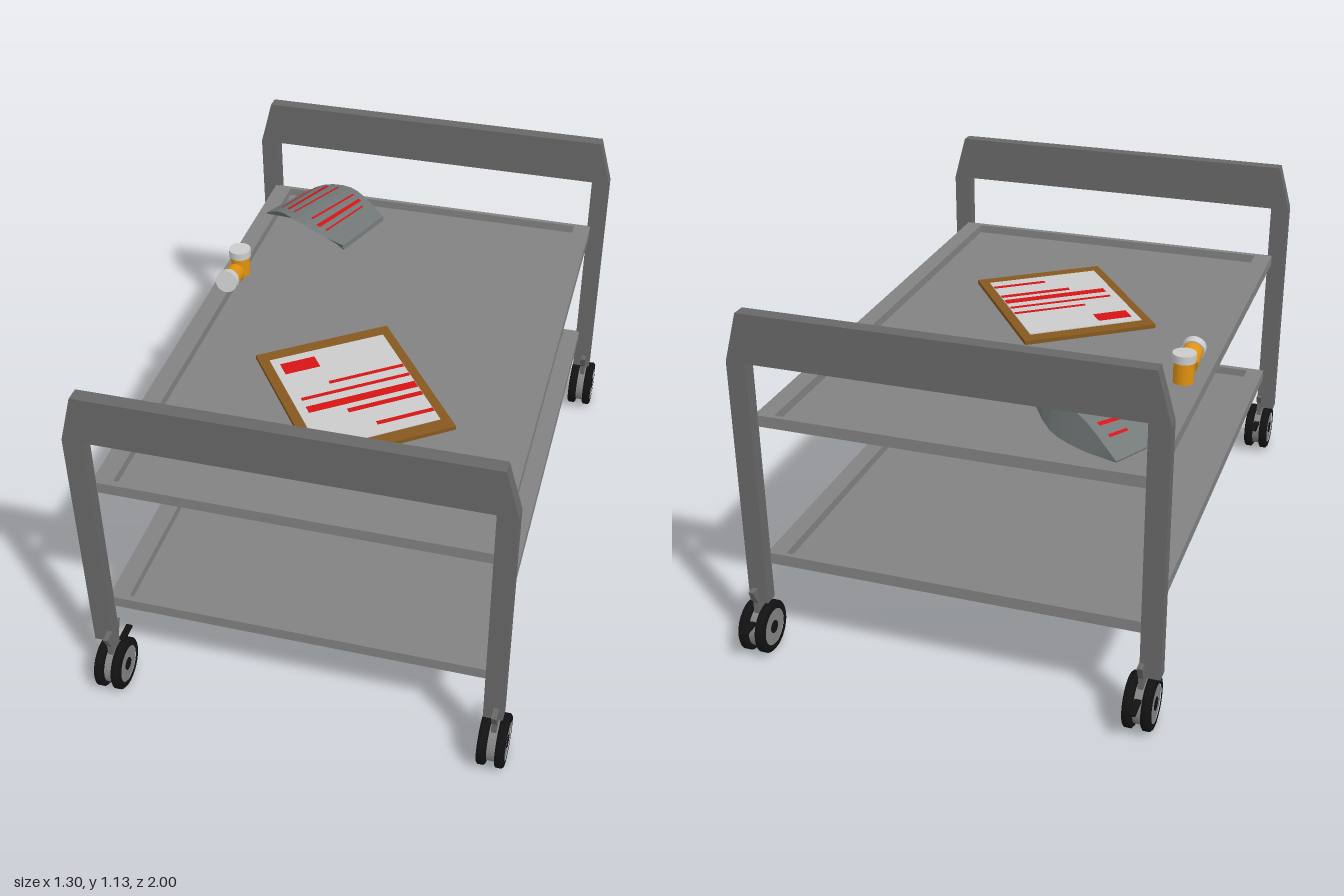
import * as THREE from 'three';

const mat = (color, extra = {}) => new THREE.MeshStandardMaterial({ color, ...extra });
const frameMat = mat(0x686868), shelfMat = mat(0x828282), hubMat = mat(0x828282);
const black = mat(0x121212), paperMat = mat(0xcccccc), red = mat(0xd81414, { side: THREE.DoubleSide });
const wood = mat(0x85581f), amber = mat(0xe0920f), pouchMat = mat(0x747a7a, { flatShading: true, side: THREE.DoubleSide });

function add(parent, name, geometry, material, x = 0, y = 0, z = 0) {
  const mesh = new THREE.Mesh(geometry, material);
  mesh.name = name;
  mesh.position.set(x, y, z);
  parent.add(mesh);
  return mesh;
}
const box = (w, h, d) => new THREE.BoxGeometry(w, h, d);
const polygon = pts => new THREE.Shape(pts.map(p => new THREE.Vector2(...p)));
const extrude = (shape, depth) => new THREE.ExtrudeGeometry(shape, { depth, bevelEnabled: false });
const disc = (r, w) => new THREE.CylinderGeometry(r, r, w, 32).rotateZ(Math.PI / 2);

// Arched end frame: two legs and a deep top rail with chamfered corners
function endFrame() {
  return extrude(polygon([[-0.652, 0.18], [-0.59, 0.18], [-0.59, 0.98], [0.57, 0.98], [0.57, 0.18], [0.63, 0.18],
    [0.63, 0.98], [0.588, 1.132], [-0.61, 1.132], [-0.652, 0.98]]), 0.043);
}

// Tray shelf: raised rim around a recessed floor
function shelf(y) {
  const g = new THREE.Group();
  const rect = (x0, x1, z0, z1) => [[x0, -z0], [x0, -z1], [x1, -z1], [x1, -z0]];
  const rim = polygon(rect(-0.605, 0.58, -0.865, 0.882));
  rim.holes.push(new THREE.Path(rect(-0.545, 0.523, -0.85, 0.862).map(p => new THREE.Vector2(...p))));
  add(g, 'shelfRim', extrude(rim, 0.036).rotateX(-Math.PI / 2), shelfMat);
  add(g, 'shelfFloor', box(1.07, 0.008, 1.714), shelfMat, -0.011, 0.004, 0.006);
  g.position.y = y;
  return g;
}

// Twin-wheel caster with a mounting bracket and a brake pedal
function caster() {
  const g = new THREE.Group();
  const tyre = new THREE.LatheGeometry([[0.058, -0.014], [0.076, -0.014], [0.082, -0.009], [0.082, 0.009],
    [0.076, 0.014], [0.058, 0.014]].map(p => new THREE.Vector2(...p)), 32).rotateZ(Math.PI / 2);
  for (const s of [-1, 1]) {
    add(g, 'tyre', tyre, black, s * 0.0275, 0.083, 0);
    add(g, 'wheelDisc', disc(0.06, 0.024), hubMat, s * 0.0275, 0.083, 0);
    add(g, 'axleCap', disc(0.02, 0.006), black, s * 0.039, 0.083, 0);
  }
  add(g, 'casterBody', disc(0.066, 0.024), hubMat, 0, 0.083, 0);
  const bracket = polygon([[-0.028, 0.12], [0.028, 0.12], [0.028, 0.18], [0.05, 0.228], [-0.05, 0.228], [-0.028, 0.18]]);
  add(g, 'bracket', extrude(bracket, 0.016).rotateY(-Math.PI / 2), frameMat, 0.008, 0, 0);
  add(g, 'brakePedal', box(0.02, 0.008, 0.07), black, 0, 0.121, -0.085);
  return g;
}

// Medicine bottle with a wide cap, standing on its base
function bottle() {
  const g = new THREE.Group();
  add(g, 'bottleBody', new THREE.CylinderGeometry(0.032, 0.032, 0.07, 24), amber, 0, 0.035, 0);
  add(g, 'bottleCap', new THREE.CylinderGeometry(0.037, 0.037, 0.026, 24), paperMat, 0, 0.082, 0);
  return g;
}

// Board with a printed sheet
function clipboard() {
  const g = new THREE.Group();
  add(g, 'board', box(0.451, 0.013, 0.562), wood, 0, 0.0065, 0);
  add(g, 'sheet', box(0.388, 0.003, 0.47), paperMat, 0, 0.0145, 0);
  // left, right, centre depth, thickness of each printed bar
  for (const [a, b, z, t] of [[-0.17, -0.055, -0.174, 0.055], [-0.057, 0.192, -0.057, 0.013], [-0.166, 0.192, -0.007, 0.013],
    [-0.166, 0.192, 0.048, 0.03], [-0.052, 0.192, 0.096, 0.018], [0.008, 0.192, 0.184, 0.015]])
    add(g, 'printedBar', box(b - a, 0.002, t), red, (a + b) / 2, 0.0165, z);
  return g;
}

// Bent pouch lofted between four corner rails, with stripes across its faces
function pouch() {
  const g = new THREE.Group();
  const rail = pts => new THREE.CatmullRomCurve3(pts.map(p => new THREE.Vector3(...p)));
  const topBack = rail([[-0.485, 0.806, -0.82], [-0.385, 0.885, -0.77], [-0.265, 0.928, -0.7], [-0.18, 0.93, -0.62], [-0.11, 0.924, -0.545]]);
  const topFront = rail([[-0.575, 0.806, -0.655], [-0.5, 0.862, -0.58], [-0.42, 0.89, -0.5], [-0.31, 0.885, -0.435], [-0.212, 0.882, -0.39]]);
  const lowFront = rail([[-0.575, 0.8, -0.655], [-0.46, 0.8, -0.645], [-0.345, 0.8, -0.61], [-0.275, 0.83, -0.49], [-0.21, 0.862, -0.392]]);
  const lowBack = rail([[-0.485, 0.8, -0.815], [-0.37, 0.8, -0.775], [-0.265, 0.815, -0.72], [-0.18, 0.865, -0.63], [-0.108, 0.906, -0.547]]);
  const rails = [topBack, topFront, lowFront, lowBack];
  const N = 12, pos = [], index = [];
  for (let i = 0; i <= N; i++) rails.forEach(r => pos.push(...r.getPoint(i / N).toArray()));
  for (let i = 0; i < N; i++) for (let k = 0; k < 4; k++) {
    const a = i * 4 + k, b = i * 4 + (k + 1) % 4;
    index.push(a, b, a + 4, b, b + 4, a + 4);
  }
  const e = N * 4;
  index.push(0, 2, 1, 0, 3, 2, e, e + 1, e + 2, e, e + 2, e + 3);
  const loft = new THREE.BufferGeometry();
  loft.setAttribute('position', new THREE.Float32BufferAttribute(pos, 3));
  loft.setIndex(index);
  loft.computeVertexNormals();
  add(g, 'pouchBody', loft, pouchMat);

  const stripe = (ra, rb, s, w, f0, f1, lift) => {
    const at = (t, f) => ra.getPoint(t).lerp(rb.getPoint(t), f).add(new THREE.Vector3(0, lift, 0));
    const geo = new THREE.BufferGeometry().setFromPoints([at(s - w, f0), at(s - w, f1), at(s + w, f0), at(s + w, f1)]);
    geo.setIndex([0, 1, 2, 1, 3, 2]);
    geo.computeVertexNormals();
    add(g, 'pouchStripe', geo, red);
  };
  for (const [s, w, f0, f1] of [[0.13, 0.009, 0.15, 0.5], [0.21, 0.012, 0.12, 0.9], [0.32, 0.018, 0.1, 0.9], [0.42, 0.01, 0.1, 0.9],
    [0.6, 0.01, 0.1, 0.85], [0.69, 0.018, 0.1, 0.9], [0.77, 0.01, 0.15, 0.9]]) {
    stripe(topBack, topFront, s, w, f0, f1, 0.005);
    if (s > 0.5) stripe(lowBack, lowFront, s, w, f0, f1, -0.005);
  }
  return g;
}

export function createModel() {
  const model = new THREE.Group();
  model.name = 'trolley';
  const place = (name, g, x = 0, y = 0, z = 0) => {
    g.name = name;
    g.position.set(x, y || g.position.y, z);
    model.add(g);
    return g;
  };
  add(model, 'frontFrame', endFrame(), frameMat, 0, 0, 0.88);
  add(model, 'backFrame', endFrame(), frameMat, 0, 0, -0.905);
  place('upperShelf', shelf(0.764));
  place('lowerShelf', shelf(0.3));
  for (const x of [-0.597, 0.608]) for (const z of [0.915, -0.885]) place('caster', caster(), x, 0, z);
  place('clipboard', clipboard(), 0, 0.772, 0.26).rotation.y = 0.628;
  place('standingBottle', bottle(), -0.54, 0.8, -0.262);
  place('lyingBottle', bottle(), -0.54, 0.832, -0.207).rotation.x = 1.33;
  place('pouch', pouch());
  return model;
}
